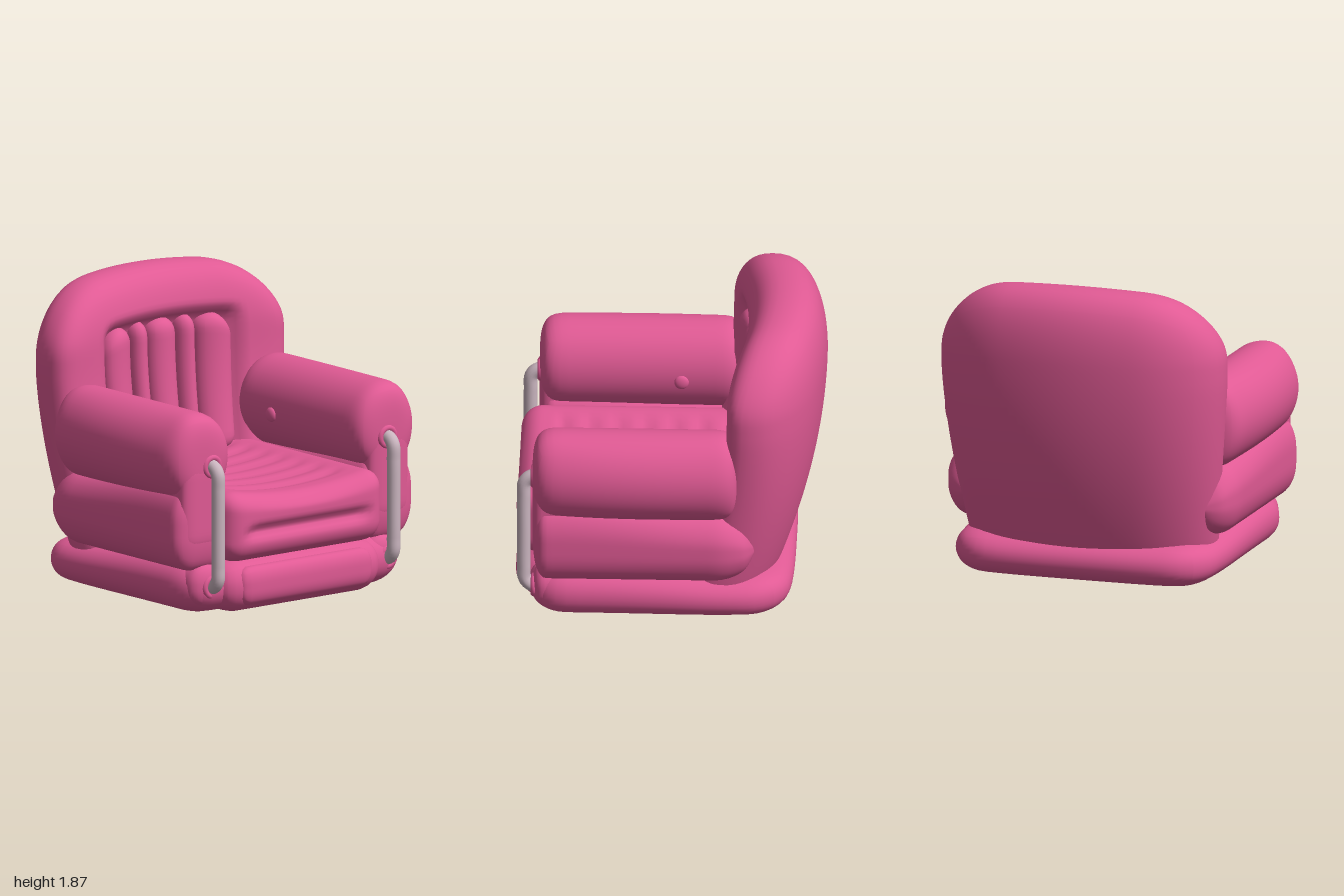
import * as THREE from 'three';
import { mergeVertices } from 'three/addons/utils/BufferGeometryUtils.js';

const { clamp, smoothstep } = THREE.MathUtils;

// soft 0..1 window between a and b
const win = (t, a, b, w) => smoothstep(t, a - w, a + w) * (1 - smoothstep(t, b - w, b + w));

// inflated box: ranges and rounding radius per axis, roundness exponents
// (e in the front outline, ez towards front and back), optional warp rule
function puff(name, material, ranges, radii, { n = [18, 18, 18], e = 2, ez = e, warp } = {}) {
  let g = new THREE.BoxGeometry(2, 2, 2, ...n);
  g.deleteAttribute('normal');
  g.deleteAttribute('uv');
  g = mergeVertices(g, 1e-5);
  const pos = g.attributes.position;
  const v = new THREE.Vector3();
  for (let i = 0; i < pos.count; i++) {
    v.fromBufferAttribute(pos, i);
    const core = [], q = [], r = [];
    for (let a = 0; a < 3; a++) {
      const half = (ranges[a][1] - ranges[a][0]) / 2;
      const p = Math.sin(v.getComponent(a) * Math.PI / 2) * half;
      r[a] = Math.min(radii[a], half);
      core[a] = clamp(p, r[a] - half, half - r[a]);
      q[a] = (p - core[a]) / r[a];
    }
    const outline = (Math.abs(q[0]) ** e + Math.abs(q[1]) ** e) ** (1 / e);
    const len = (outline ** ez + Math.abs(q[2]) ** ez) ** (1 / ez);
    for (let a = 0; a < 3; a++) {
      v.setComponent(a, (ranges[a][0] + ranges[a][1]) / 2 + core[a] + q[a] / len * r[a]);
    }
    if (warp) warp(v);
    pos.setXYZ(i, v.x, v.y, v.z);
  }
  g.computeVertexNormals();
  const mesh = new THREE.Mesh(g, material);
  mesh.name = name;
  return mesh;
}

// shared curve of the backrest: wraps forward at the sides, tapers and leans below
function bendBack(v) {
  const low = Math.max(0, 1.5 - v.y) / 1.25;
  const taper = Math.max(0, 1.3 - v.y) / 1.05;
  v.z += 0.18 * (v.x / 0.85) ** 2 * (1 - 0.3 * Math.min(1, low)) + 0.24 * low ** 1.9;
  v.x *= 1 - 0.13 * taper ** 1.3;
}

export function createModel() {
  const pink = new THREE.MeshStandardMaterial({ color: 0xe05a94 });
  pink.name = 'pink vinyl';
  const grey = new THREE.MeshStandardMaterial({ color: 0xc9b4be });
  grey.name = 'pale grey handle';

  const model = new THREE.Group();
  model.name = 'inflatableArmchair';

  // base cushion with bulging front panel
  model.add(puff('base', pink, [[-0.86, 0.86], [0, 0.34], [-0.76, 0.86]], [0.24, 0.17, 0.24], {
    n: [24, 16, 24], e: 2.2,
    warp: (v) => {
      v.y *= 1 - 0.2 * smoothstep(-v.z, -0.6, 0.7);
      v.x *= 1 - 0.07 * Math.max(0, -v.z / 0.76) ** 3;
      if (v.z < 0) v.z *= 1 - 0.12 * (v.x / 0.85) ** 4;
    },
  }));
  model.add(puff('baseFront', pink, [[-0.64, 0.64], [0, 0.33], [0.3, 0.925]], [0.16, 0.16, 0.16]));
  model.add(puff('baseFrontPanel', pink, [[-0.52, 0.52], [0.05, 0.29], [0.8, 0.945]], [0.08, 0.1, 0.06]));

  // backrest with arched top and recessed inner panel, its foot sunk in the base
  model.add(puff('backrest', pink, [[-0.91, 0.91], [-0.2, 1.87], [-0.95, -0.45]], [0.5, 0.45, 0.25], {
    n: [52, 56, 16], e: 2.2, ez: 2.5,
    warp: (v) => {
      v.y = Math.max(v.y, 0.12);
      if (v.z > -0.7) v.z -= 0.1 * win(v.x, -0.5, 0.5, 0.06) * win(v.y, 0.5, 1.56, 0.07);
      v.y -= 0.06 * (v.x / 0.75) ** 2 * smoothstep(v.y, 1.2, 1.8);
      bendBack(v);
    },
  }));

  // vertical tubes in the backrest: centre, width, top
  for (const [x, w, top] of [[0, 0.215, 1.56], [0.182, 0.13, 1.56], [0.38, 0.24, 1.55]]) {
    for (const s of x ? [-1, 1] : [1]) {
      model.add(puff('backTube', pink,
        [[s * x - w / 2, s * x + w / 2], [0.7, top], [-0.64, -0.46 + w * 0.1]],
        [w / 2, 0.1, 0.1], {
          n: [14, 24, 12],
          warp: (v) => {
            // outer tubes round off at the top
            if (x > 0.3) v.y -= 0.06 * Math.max(0, (Math.abs(v.x) - 0.34) / 0.16) ** 2 * smoothstep(v.y, 1.2, 1.5);
            bendBack(v);
          },
        }));
    }
  }

  // seat cushion: sagging ribbed top, grooved front
  model.add(puff('seat', pink, [[-0.62, 0.62], [0.32, 0.78], [-0.55, 0.94]], [0.13, 0.13, 0.13], {
    n: [28, 28, 60],
    warp: (v) => {
      const top = smoothstep(v.y, 0.55, 0.75);
      const inner = win(v.x, -0.42, 0.42, 0.06);
      const rib = 0.5 + 0.5 * Math.cos(v.z * Math.PI * 2 / 0.17);
      const front = smoothstep(v.z, 0.75, 0.9);
      v.y -= top * (0.07 * (1 - Math.min(1, (v.x / 0.6) ** 2))
        + 0.018 * rib ** 2 * inner * (1 - smoothstep(v.z, 0.72, 0.82)));
      v.z -= 0.045 * front * win(v.x, -0.46, 0.46, 0.06) * Math.exp(-(((v.y - 0.51) / 0.035) ** 2));
    },
  }));
  model.add(puff('seatFlap', pink, [[-0.14, 0.14], [0.64, 0.718], [-0.45, -0.2]], [0.08, 0.04, 0.08]));

  for (const s of [-1, 1]) {
    const span = (a, b) => (s > 0 ? [a, b] : [-b, -a]);
    const arm = new THREE.Group();
    arm.name = (s > 0 ? 'left' : 'right') + 'Arm';

    // rolled armrest, slightly barrelled along its length
    arm.add(puff('armRoll', pink, [span(0.49, 1.0), [0.7, 1.27], [-0.43, 0.835]], [0.255, 0.285, 0.18], {
      n: [24, 24, 24], ez: 3.5,
      warp: (v) => { v.x -= s * 0.05 * ((v.z - 0.2) / 0.65) ** 2 * smoothstep(s * v.x, 0.75, 1); },
    }));
    // lower side bolster, rounded off towards the back
    arm.add(puff('armBolster', pink, [span(0.52, 0.94), [0.29, 0.82], [-0.53, 0.83]], [0.15, 0.22, 0.08], {
      n: [18, 22, 36],
      warp: (v) => {
        v.y -= 0.08 * smoothstep(v.y, 0.4, 0.8) * smoothstep(-v.z, -0.7, 0.4);
        const t = clamp((-0.27 - v.z) / 0.265, 0, 1);
        v.y = 0.48 + (v.y - 0.48) * Math.sqrt(1 - t * t);
        v.x -= s * 0.1 * t * t * smoothstep(s * v.x, 0.7, 0.94);
      },
    }));
    // front face joining roll and bolster
    arm.add(puff('armFront', pink, [span(0.58, 0.89), [0.42, 1.0], [0.5, 0.835]], [0.1, 0.1, 0.05]));

    // air valve on the inner face
    const valve = new THREE.Mesh(new THREE.SphereGeometry(0.045, 20, 14), pink);
    valve.name = 'valve';
    valve.scale.x = 0.5;
    valve.position.set(s * 0.49, 0.96, -0.04);
    arm.add(valve);

    // bent handle tube on the front, with a collar at each end
    const hx = s * 0.69 + 0.013;
    const path = new THREE.CatmullRomCurve3([
      [0.94, 0.76], [0.94, 0.84], [0.9, 0.884], [0.8, 0.89], [0.55, 0.89],
      [0.32, 0.89], [0.23, 0.884], [0.185, 0.84], [0.185, 0.76],
    ].map(([y, z]) => new THREE.Vector3(hx, y, z)));
    const handle = new THREE.Mesh(new THREE.TubeGeometry(path, 60, 0.042, 16), grey);
    handle.name = 'handle';
    arm.add(handle);
    for (const y of [0.94, 0.185]) {
      const collar = new THREE.Mesh(new THREE.TorusGeometry(0.055, 0.02, 10, 28), pink);
      collar.name = 'handleCollar';
      collar.position.set(hx, y, 0.828);
      arm.add(collar);
    }
    // corner boss holding the lower end of the handle
    arm.add(puff('handleBoss', pink, [span(0.56, 0.82), [0.05, 0.33], [0.5, 0.84]], [0.13, 0.13, 0.08]));
    model.add(arm);
  }
  return model;
}
